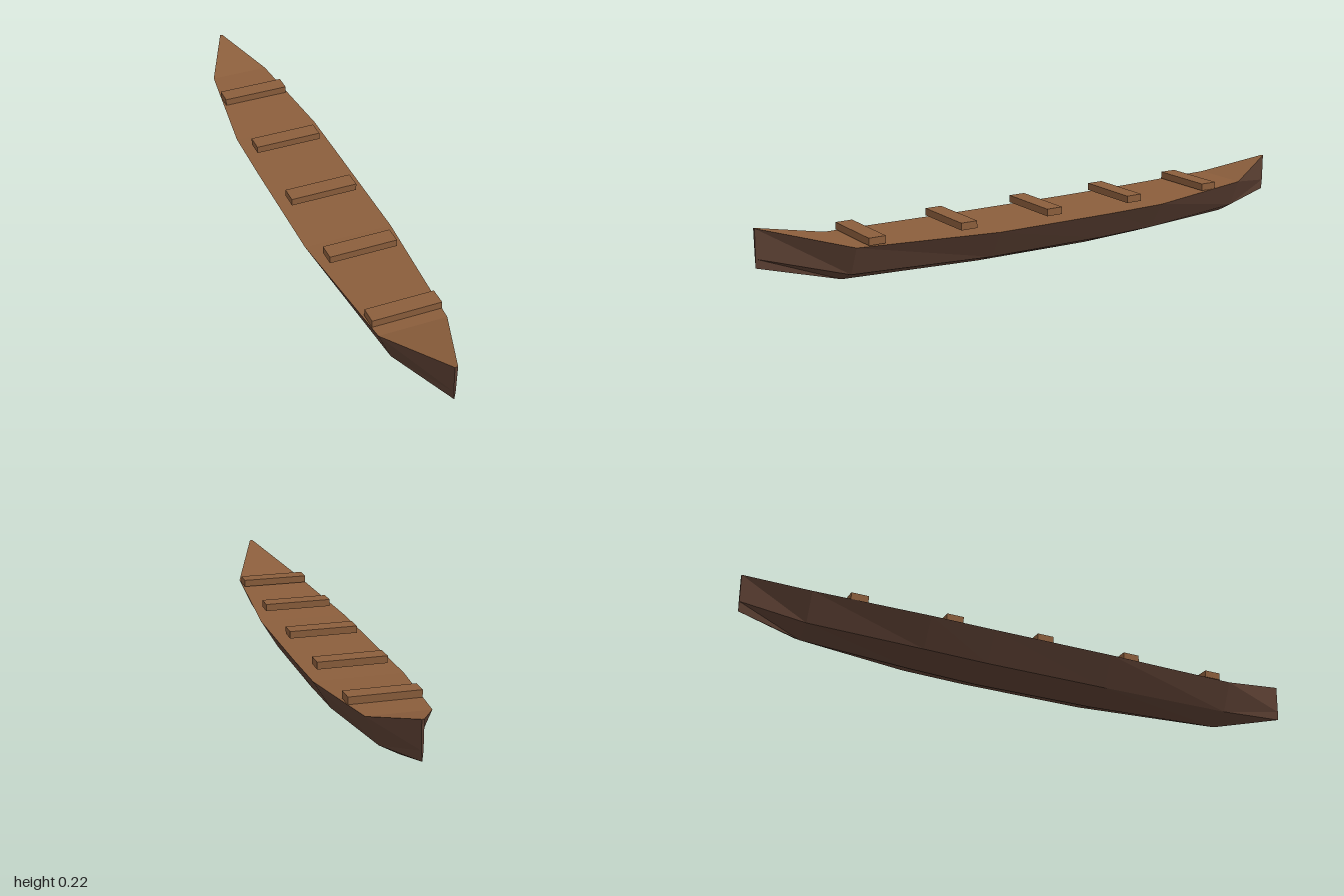
import * as THREE from 'three';

// Hull stations, bow to stern: z, gunwale half width and height, chine half width and height, keel height
const STATIONS = [
  [1.0, 0.005, 0.225, 0.003, 0.13, 0.1],
  [0.72, 0.113, 0.147, 0.07, 0.052, 0.02],
  [0.23, 0.15, 0.132, 0.092, 0.037, 0.002],
  [-0.2, 0.149, 0.132, 0.092, 0.037, 0.0],
  [-0.42, 0.147, 0.134, 0.09, 0.042, 0.008],
  [-0.8, 0.101, 0.155, 0.06, 0.063, 0.03],
  [-1.0, 0.004, 0.21, 0.003, 0.118, 0.085],
];

// Cross-section from the left gunwale, under the keel, to the right gunwale
const sections = STATIONS.map(([z, gx, gy, cx, cy, ky]) => [
  [gx, gy, z], [cx, cy, z], [0, ky, z], [-cx, cy, z], [-gx, gy, z],
]);

function facetedGeometry(triangles) {
  const geometry = new THREE.BufferGeometry();
  geometry.setAttribute('position', new THREE.Float32BufferAttribute(triangles.flat(2), 3));
  geometry.computeVertexNormals();
  return geometry;
}

// Joins neighbouring sections between section points j and k
function strip(j, k) {
  const triangles = [];
  for (let i = 0; i < sections.length - 1; i++) {
    const a = sections[i], b = sections[i + 1];
    triangles.push([a[j], a[k], b[k]], [a[j], b[k], b[j]]);
  }
  return triangles;
}

export function createModel() {
  const group = new THREE.Group();
  const darkWood = new THREE.MeshStandardMaterial({ color: 0x5c4033 });
  darkWood.name = 'darkWood';
  const lightWood = new THREE.MeshStandardMaterial({ color: 0x8b5e3c });
  lightWood.name = 'lightWood';
  for (const material of [darkWood, lightWood]) material.flatShading = true;

  const add = (name, geometry, material) => {
    const mesh = new THREE.Mesh(geometry, material);
    mesh.name = name;
    group.add(mesh);
    return mesh;
  };

  // Hull planking with narrow stem and stern faces
  const planks = [0, 1, 2, 3].flatMap((j) => strip(j, j + 1));
  const bow = sections[0], stern = sections[sections.length - 1];
  for (let j = 1; j < 4; j++) {
    planks.push([bow[0], bow[j + 1], bow[j]], [stern[0], stern[j], stern[j + 1]]);
  }
  add('hull', facetedGeometry(planks), darkWood);

  // Deck following the sheer line
  add('deck', facetedGeometry(strip(4, 0)), lightWood);

  // Five evenly spaced benches
  const benchGeometry = new THREE.BoxGeometry(0.23, 0.024, 0.058);
  for (let i = -2; i <= 2; i++) {
    add(`bench${i + 3}`, benchGeometry, lightWood).position.set(0, 0.16, i * 0.325);
  }
  return group;
}
